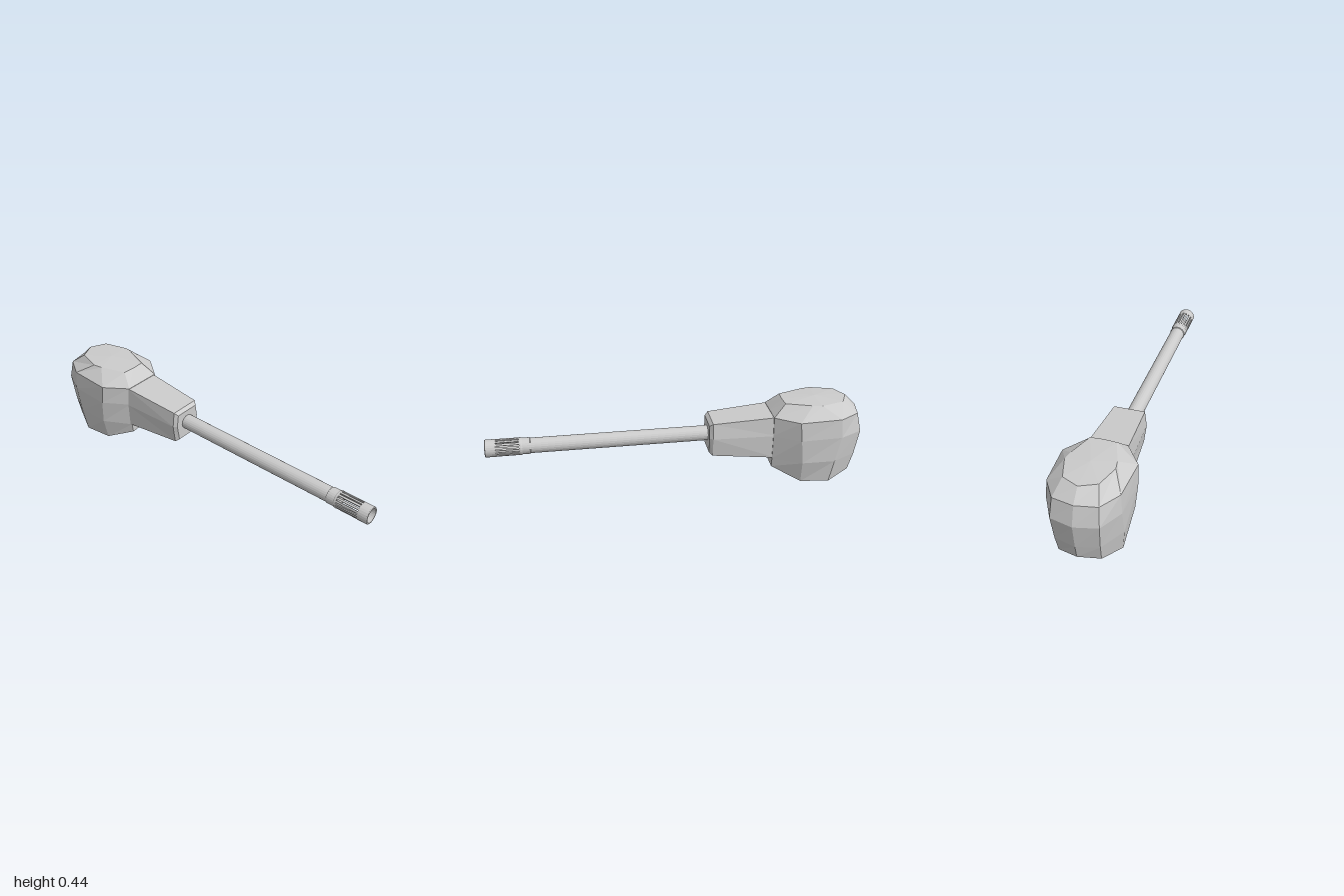
import * as THREE from 'three';

const flat = () => new THREE.MeshStandardMaterial({ color: 0xcccccc, flatShading: true });

// Skin through closed cross-sections; each end is closed as a fan around its centre point.
function loft(rings, startCentre, endCentre) {
  const n = rings[0].length, pos = [];
  const tri = (...pts) => pts.forEach(p => pos.push(...p));
  for (let r = 0; r < rings.length - 1; r++) {
    for (let i = 0; i < n; i++) {
      const j = (i + 1) % n;
      const a = rings[r][i], b = rings[r][j], c = rings[r + 1][j], d = rings[r + 1][i];
      tri(a, b, c);
      tri(a, c, d);
    }
  }
  const first = rings[0], last = rings[rings.length - 1];
  for (let i = 0; i < n; i++) {
    const j = (i + 1) % n;
    tri(first[j], first[i], startCentre);
    tri(last[i], last[j], endCentre);
  }
  const g = new THREE.BufferGeometry();
  g.setAttribute('position', new THREE.Float32BufferAttribute(pos, 3));
  g.computeVertexNormals();
  return g;
}

// Half outline from front middle round to back middle, completed by mirroring.
function mirrored(half) {
  const other = half.slice(1, -1).reverse().map(([x, y, z]) => [-x, y, z]);
  return [...half, ...other];
}

function add(group, name, geometry, material = flat()) {
  const mesh = new THREE.Mesh(geometry, material);
  mesh.name = name;
  group.add(mesh);
  return mesh;
}

export function createModel() {
  const model = new THREE.Group();
  model.name = 'gearLever';

  // Faceted knob, bottom to top
  const level = (y, pts) => mirrored(pts.map(([x, z]) => [x, y, z]));
  const knobRings = [
    mirrored([
      [0, 0.08, -0.5], [0.09, 0.072, -0.5], [0.15, 0, -0.65], [0.168, 0, -0.8],
      [0.105, 0.03, -0.925], [0, 0.05, -0.965],
    ]),
    level(0.125, [[0, -0.5], [0.097, -0.5], [0.179, -0.645], [0.182, -0.82], [0.11, -0.95], [0, -0.98]]),
    level(0.262, [[0, -0.5], [0.103, -0.5], [0.19, -0.63], [0.182, -0.85], [0.117, -0.972], [0, -1]]),
    level(0.365, [[0, -0.5], [0.1, -0.5], [0.187, -0.62], [0.176, -0.845], [0.11, -0.95], [0, -0.972]]),
    level(0.427, [[0, -0.562], [0.066, -0.566], [0.113, -0.7], [0.122, -0.75], [0.085, -0.872], [0, -0.912]]),
  ];
  add(model, 'knob', loft(knobRings, [0, 0.006, -0.74], [0, 0.435, -0.74]));

  // Tapered six-sided neck with a chamfered front
  const section = (z, bottom, top, xBottom, xMid, xTop) => [
    [xBottom, bottom, z], [xMid, 0.258, z], [xTop, top, z],
    [-xTop, top, z], [-xMid, 0.258, z], [-xBottom, bottom, z],
  ];
  const neck = add(model, 'neck', loft([
    section(-0.52, 0.125, 0.364, 0.098, 0.104, 0.099),
    section(-0.18, 0.155, 0.341, 0.078, 0.092, 0.082),
    section(-0.162, 0.17, 0.325, 0.064, 0.078, 0.068),
  ], [0, 0.25, -0.52], [0, 0.25, -0.162]));
  neck.position.x = -0.004;

  // Rod assembly shares one axis along z
  const rod = new THREE.Group();
  rod.name = 'rod';
  rod.position.set(-0.004, 0.255, 0);
  model.add(rod);

  const SIDES = 24;
  const shaft = new THREE.CylinderGeometry(0.04, 0.04, 1.02, SIDES).rotateX(Math.PI / 2);
  add(rod, 'shaft', shaft).position.z = 0.29;

  // Hollow turned parts: collar behind the slots and ring at the open end
  const turned = (name, profile) => {
    const pts = profile.map(([r, z]) => new THREE.Vector2(r, z));
    const material = flat();
    material.side = THREE.DoubleSide;
    add(rod, name, new THREE.LatheGeometry(pts, SIDES).rotateX(Math.PI / 2), material);
  };
  turned('collar', [[0.039, 0.765], [0.043, 0.77], [0.043, 0.81], [0.046, 0.815],
    [0.046, 0.825], [0.038, 0.825], [0.038, 0.78]]);
  turned('endRing', [[0.038, 0.945], [0.046, 0.945], [0.046, 0.997], [0.044, 1],
    [0.038, 1], [0.038, 0.945]]);

  // Slats leave narrow slots through the tube wall
  const SLATS = 16, step = Math.PI * 2 / SLATS, half = step * 0.31;
  const outline = new THREE.Shape();
  outline.absarc(0, 0, 0.0455, -half, half, false);
  outline.absarc(0, 0, 0.038, half, -half, true);
  outline.closePath();
  const slat = new THREE.ExtrudeGeometry(outline, { depth: 0.12, bevelEnabled: false, curveSegments: 2 });
  for (let i = 0; i < SLATS; i++) {
    const mesh = add(rod, 'slat', slat);
    mesh.position.z = 0.825;
    mesh.rotation.z = i * step;
  }

  return model;
}
